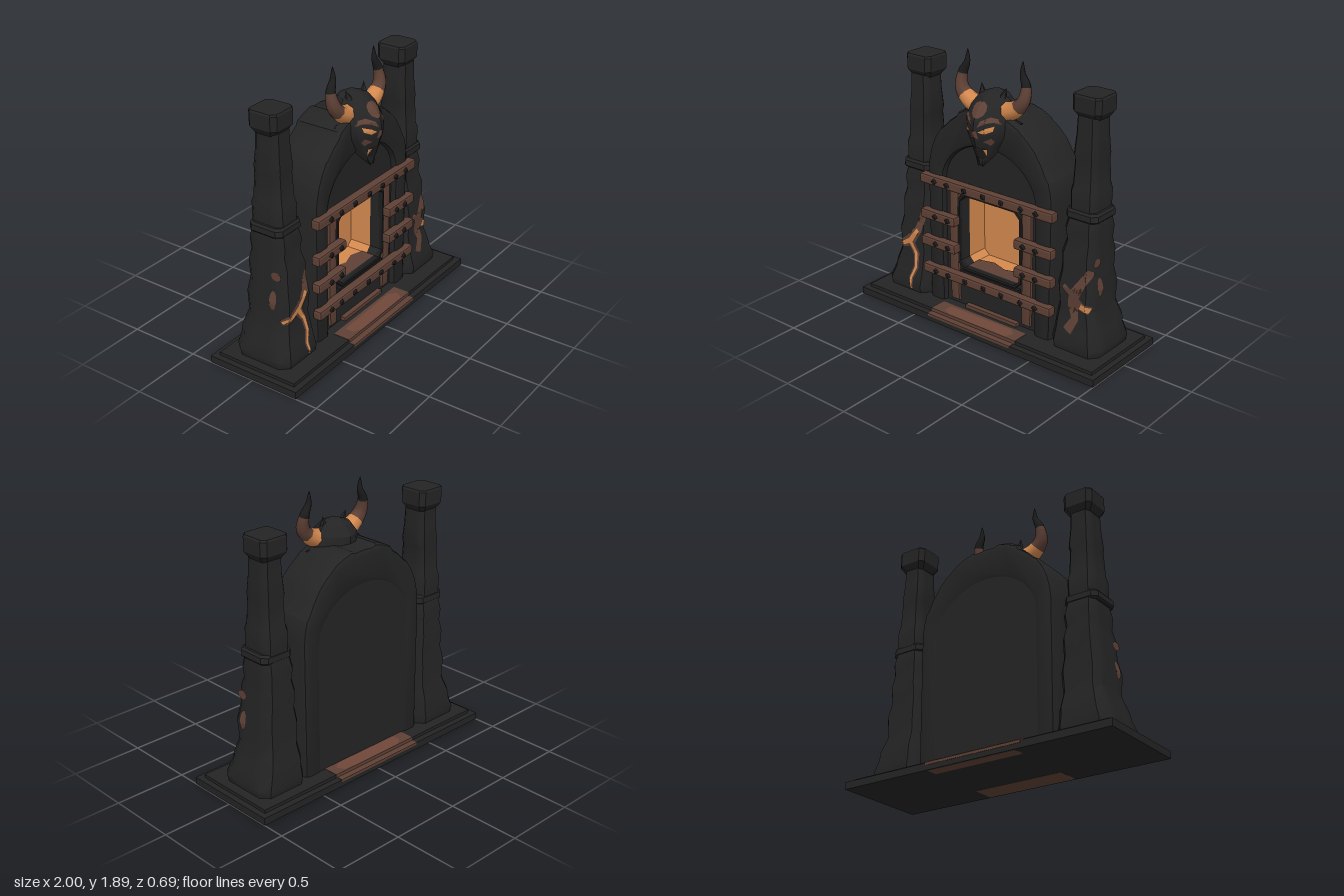
import * as THREE from 'three';
import { toCreasedNormals } from 'three/addons/utils/BufferGeometryUtils.js';
import { RoundedBoxGeometry } from 'three/addons/geometries/RoundedBoxGeometry.js';

const mat = (name, color) => new THREE.MeshStandardMaterial({ name, color });
const stone = mat('charcoal stone', 0x242424);
const soot = mat('soot black', 0x1d1d1d);
const rust = mat('rusty brown', 0x5f4136);
const warm = mat('warm brown', 0x704839);
const ember = mat('ember orange', 0xd68a4f);

const V = (x, y, z) => new THREE.Vector3(x, y, z);
const poly = pts => new THREE.Shape(pts.map(p => new THREE.Vector2(p[0], p[1])));

// Section outlines, as a quarter from the front middle to the side
const SQUARE = [[0, 1], [0.72, 1], [1, 0.72], [1, 0.3]];
const SKULL = [[0, 1], [0.38, 0.86], [0.75, 0.55], [1, 0]];

// Stack sections; each row is [y, centre x, half width, centre z, front depth, back depth]
function loft(rows, quarter, crease = 0.5) {
  const rev = [...quarter].reverse();
  const ring = [...quarter, ...rev.map(([u, v]) => [u, -v]), ...quarter.map(([u, v]) => [-u, -v]), ...rev.map(([u, v]) => [-u, v])]
    .filter((p, i, a) => { const q = a[(i + 1) % a.length]; return Math.abs(p[0] - q[0]) + Math.abs(p[1] - q[1]) > 1e-6; });
  const n = ring.length, pos = [], idx = [];
  for (const [y, cx, w, cz, df, db] of rows)
    for (const [u, v] of ring) pos.push(cx + u * w, y, cz + v * (v > 0 ? df : db));
  const last = rows.length - 1;
  for (const r of [0, last]) pos.push(rows[r][1], rows[r][0], rows[r][3]);
  for (let i = 0; i < n; i++) {
    const j = (i + 1) % n;
    for (let r = 0; r < last; r++) {
      const a = r * n + i, b = r * n + j;
      idx.push(a, b, b + n, a, b + n, a + n);
    }
    idx.push(n * (last + 1), j, i, n * (last + 1) + 1, last * n + i, last * n + j);
  }
  const g = new THREE.BufferGeometry();
  g.setAttribute('position', new THREE.Float32BufferAttribute(pos, 3));
  g.setIndex(idx);
  return toCreasedNormals(g, crease);
}

// Front depth of a loft at x, y, lifted by off
const onFront = (rows, quarter, off) => (x, y) => {
  let r = 0;
  while (r < rows.length - 2 && rows[r + 1][0] < y) r++;
  const t = THREE.MathUtils.clamp((y - rows[r][0]) / (rows[r + 1][0] - rows[r][0]), 0, 1);
  const [, cx, w, cz, df] = rows[r].map((a, k) => a + (rows[r + 1][k] - a) * t);
  const u = Math.min(Math.abs(x - cx) / w, 1);
  let k = 0;
  while (k < quarter.length - 2 && quarter[k + 1][0] < u) k++;
  const [a, b] = [quarter[k], quarter[k + 1]];
  const v = a[1] + (b[1] - a[1]) * Math.min(1, (u - a[0]) / (b[0] - a[0] || 1));
  return [x, y, cz + df * v + off];
};

// Thin painted face: triangulate, subdivide, lay onto a surface
function decal(pts, map, levels = 3) {
  const src = new THREE.ShapeGeometry(poly(pts)).toNonIndexed().attributes.position;
  let tris = [];
  for (let i = 0; i < src.count; i += 3) tris.push([0, 1, 2].map(k => [src.getX(i + k), src.getY(i + k)]));
  const mid = (a, b) => [(a[0] + b[0]) / 2, (a[1] + b[1]) / 2];
  for (let l = 0; l < levels; l++) tris = tris.flatMap(([a, b, c]) => {
    const d = mid(a, b), e = mid(b, c), f = mid(c, a);
    return [[a, d, f], [d, b, e], [f, e, c], [d, e, f]];
  });
  const g = new THREE.BufferGeometry();
  g.setAttribute('position', new THREE.Float32BufferAttribute(tris.flat().flatMap(p => map(p[0], p[1])), 3));
  g.computeVertexNormals();
  return g;
}

// Polygon around a line of [x, y, half width]
function stroke(line, k = 1) {
  const side = s => line.map(([x, y, h], i) => {
    const a = line[Math.max(0, i - 1)], b = line[Math.min(line.length - 1, i + 1)];
    const l = Math.hypot(b[0] - a[0], b[1] - a[1]);
    return [x - s * k * h * (b[1] - a[1]) / l, y + s * k * h * (b[0] - a[0]) / l];
  });
  return [...side(1), ...side(-1).reverse()];
}
const oval = (x, y, rx, ry, n = 10) => Array.from({ length: n }, (_, i) =>
  [x + rx * Math.cos(i * 2 * Math.PI / n), y + ry * Math.sin(i * 2 * Math.PI / n)]);
const cutRect = (x, y0, y1, c) => [[-x + c, y0], [x - c, y0], [x, y0 + c], [x, y1 - c], [x - c, y1], [-x + c, y1], [-x, y1 - c], [-x, y0 + c]];

// Arch outline from the right foot over to the left; uneven makes each stone step in or out a little
function archPts(w, y0, spring, h, uneven = 0) {
  const pts = [[w, y0]], stones = 9;
  for (let i = 0; i < stones; i++) for (let k = 0; k < 3; k++) {
    const a = Math.PI * (i + 0.08 + 0.42 * k) / stones, r = 1 + uneven * Math.sin(i * 2.6 + 1);
    pts.push([w * r * Math.cos(a), spring + h * r * Math.sin(a)]);
  }
  return [...pts, [-w, y0]];
}
function slab(pts, hole, z0, z1, bevel = 0) {
  const s = poly(pts);
  if (hole) s.holes.push(new THREE.Path(hole.map(p => new THREE.Vector2(...p))));
  const g = new THREE.ExtrudeGeometry(s, { depth: z1 - z0 - 2 * bevel, bevelEnabled: bevel > 0, bevelSize: bevel, bevelThickness: bevel, bevelOffset: -bevel, bevelSegments: 2 });
  return toCreasedNormals(g.translate(0, 0, z0 + bevel), 0.6);
}

export function createModel() {
  const root = new THREE.Group();
  const add = (name, g, m) => { const o = new THREE.Mesh(g, m); o.name = name; root.add(o); return o; };
  const box = (name, m, x0, x1, y0, y1, z0, z1) =>
    add(name, new THREE.BoxGeometry(x1 - x0, y1 - y0, z1 - z0).translate((x0 + x1) / 2, (y0 + y1) / 2, (z0 + z1) / 2), m);

  // Stepped base with rusty patches front and back
  box('baseSlab', stone, -1, 1, 0.001, 0.05, -0.343, 0.343);
  box('baseStep', stone, -0.96, 0.96, 0.05, 0.073, -0.3, 0.3);
  for (const s of [1, -1]) {
    const band = (name, m, x0, x1, y0, y1, a, b) => box(name, m, x0, x1, y0, y1, Math.min(s * a, s * b), Math.max(s * a, s * b));
    band('basePatchEdge', rust, -0.37, 0.34, 0.035, 0.053, 0.28, 0.346);
    band('basePatchUnder', rust, -0.33, 0.33, 0, 0.003, s > 0 ? 0.17 : 0.25, 0.335);
    band('basePatchStep', rust, -0.37, 0.35, 0.05, 0.076, 0.18, 0.303);
    const glow = [[-0.28, 0.21], [0.24, 0.2], [0.29, 0.24], [0.26, 0.295], [-0.22, 0.3], [-0.28, 0.27]];
    add('basePatchGlow', decal(glow.map(([x, z]) => [x, -s * z]), (u, v) => [u, 0.079, -v], 0), warm);
  }

  // Stone arch ring, back wall and front wall around the fire opening
  const opening = cutRect(0.25, 0.37, 0.89, 0.04);
  const ring = [...archPts(0.515, 0.03, 1.0, 0.53, 0.018), ...archPts(0.385, 0.03, 0.96, 0.32).reverse()];
  add('archRing', slab(ring, null, -0.2, 0.158, 0.03), stone);
  add('backWall', slab(archPts(0.43, 0.07, 0.98, 0.4), null, -0.193, -0.15), stone);
  add('frontWall', slab(archPts(0.41, 0.07, 0.97, 0.34), opening, 0.04, 0.115), stone);
  add('openingTrim', slab(cutRect(0.27, 0.35, 0.91, 0.05), opening, 0.1, 0.14, 0.006), soot);
  add('fireboxWalls', slab(cutRect(0.29, 0.33, 0.93, 0.04), cutRect(0.252, 0.368, 0.892, 0.04), -0.13, 0.1), ember);
  box('fireboxBack', ember, -0.28, 0.28, 0.34, 0.92, -0.14, -0.12);
  add('ashBed', decal([[-0.21, -0.1], [0.21, -0.1], [0.21, 0], [0.12, 0.03], [0.02, 0], [-0.1, 0.04], [-0.21, 0.01]],
    (u, v) => [u, 0.373, -v], 0), rust);
  box('sill', soot, -0.25, 0.25, 0.27, 0.345, 0.11, 0.14);
  box('hearthLip', rust, -0.2, 0.24, 0.073, 0.098, 0.1, 0.15);
  for (const s of [-1, 1])
    add('rustyRail', slab(stroke([[s * 0.305, 0.1, 0.036], [s * 0.31, 0.35, 0.04], [s * 0.31, 0.75, 0.036], [s * 0.305, 0.93, 0.04]]), null, 0.1, 0.135, 0.01), rust);

  // Iron bars with studs; the middle two are broken by the opening
  const bar = (x0, x1, y, h, studs) => {
    add('ironBar', toCreasedNormals(new RoundedBoxGeometry(x1 - x0, h, 0.065, 1, 0.014).translate((x0 + x1) / 2, y, 0.168), 0.3), rust);
    studs.forEach((x, i) => {
      const o = add('barStud', new THREE.CylinderGeometry(0.013, 0.026, 0.016, 4).rotateX(Math.PI / 2), soot);
      o.position.set(x, y, 0.206);
      o.rotation.z = i * 1.3;
    });
  };
  const full = [-0.42, -0.31, -0.16, 0, 0.15, 0.31, 0.43];
  bar(-0.55, 0.56, 0.962, 0.07, full);
  bar(-0.54, 0.55, 0.3, 0.068, full);
  for (const y of [0.705, 0.505]) {
    bar(-0.55, -0.25, y, 0.07, [-0.42, -0.31]);
    bar(0.25, 0.555, y, 0.07, [0.33, 0.43]);
  }

  // Tapering pillars with collar and cap
  const side = s => [[0.072, 0.715, 0.18, -0.02, 0.205], [0.12, 0.717, 0.187, -0.02, 0.215], [0.2, 0.705, 0.168, -0.025, 0.195],
    [0.25, 0.702, 0.163, -0.03, 0.19], [0.36, 0.688, 0.136, -0.025, 0.16], [0.5, 0.688, 0.144, -0.022, 0.168], [0.6, 0.684, 0.126, -0.025, 0.148],
    [0.72, 0.684, 0.126, -0.03, 0.153], [0.8, 0.685, 0.11, -0.035, 0.13], [0.88, 0.683, 0.118, -0.035, 0.138], [0.97, 0.685, 0.1, -0.035, 0.118]]
    .map(([y, x, w, z, d]) => [y, s * x, w, z, d, d]);
  const cracks = {
    '-1': [[[-0.595, 0.66, 0.02], [-0.63, 0.53, 0.03], [-0.7, 0.435, 0.042], [-0.76, 0.4, 0.032], [-0.82, 0.37, 0.02]],
      [[-0.7, 0.42, 0.035], [-0.65, 0.34, 0.026], [-0.64, 0.25, 0.022], [-0.67, 0.17, 0.018], [-0.66, 0.09, 0.012]]],
    '1': [[[0.8, 0.64, 0.02], [0.75, 0.55, 0.03], [0.7, 0.46, 0.04], [0.69, 0.38, 0.038], [0.715, 0.3, 0.028], [0.67, 0.21, 0.034]],
      [[0.7, 0.44, 0.03], [0.75, 0.4, 0.032], [0.81, 0.375, 0.025]], [[0.69, 0.46, 0.025], [0.62, 0.51, 0.018]]],
  };
  for (const s of [-1, 1]) {
    const rows = side(s);
    add('pillarLower', loft(rows, SQUARE, 0.8), stone);
    add('pillarCollar', loft([[0.95, 0.69, 0.11], [0.962, 0.69, 0.122], [1.0, 0.69, 0.12], [1.015, 0.69, 0.108]]
      .map(([y, x, w]) => [y, s * x, w, -0.03, w + 0.006, w + 0.006]), SQUARE), stone);
    add('pillarUpper', loft([[1.0, 0.688, 0.095, 0.118], [1.13, 0.688, 0.098, 0.12], [1.17, 0.688, 0.088, 0.108], [1.34, 0.688, 0.081, 0.099],
      [1.37, 0.685, 0.087, 0.102], [1.5, 0.685, 0.077, 0.09], [1.62, 0.685, 0.072, 0.088]].map(([y, x, w, d]) => [y, s * x, w, -0.036, d, d]), SQUARE, 0.8), stone);
    add('pillarCap', loft([[1.6, 0.075], [1.645, 0.106], [1.74, 0.107], [1.752, 0.1]].map(([y, w]) => [y, s * 0.684, w, -0.045, w, w]), SQUARE), stone);
    cracks[s].forEach((line, i) => {
      add('lavaCrack', decal(stroke(line), onFront(rows, SQUARE, 0.005 + 0.001 * i)), rust);
      const core = s < 0 ? line.slice(1 - i) : i === 1 ? line.slice(1) : null;
      if (core) add('lavaCore', decal(stroke(core, s < 0 ? 0.45 : 0.7), onFront(rows, SQUARE, 0.009)), ember);
    });
    // Scorched spots on the outer faces
    for (const [z, y, rz, ry] of [[0.065, 0.69, 0.04, 0.03], [0.045, 0.52, 0.028, 0.065]])
      add('scorchMark', decal(oval(-s * z, y, rz, ry), (u, v) => {
        const r = side(1), k = Math.max(0, r.findIndex(q => q[0] >= v) - 1), t = (v - r[k][0]) / (r[k + 1][0] - r[k][0]);
        return [s * (THREE.MathUtils.lerp(r[k][1] + r[k][2], r[k + 1][1] + r[k + 1][2], t) + 0.005), v, -s * u];
      }), rust);
  }

  // Horned skull
  const head = [[1.185, 0.014, 0.2, 0.02, 0.02], [1.25, 0.068, 0.16, 0.075, 0.05], [1.32, 0.12, 0.12, 0.14, 0.07], [1.39, 0.168, 0.1, 0.18, 0.1],
    [1.45, 0.182, 0.09, 0.198, 0.14], [1.5, 0.18, 0.08, 0.2, 0.15], [1.57, 0.155, 0.07, 0.165, 0.14], [1.63, 0.108, 0.07, 0.105, 0.1], [1.66, 0.03, 0.07, 0.04, 0.04]]
    .map(([y, w, z, f, b]) => [y, 0, w, z, f, b]);
  add('skull', loft(head, SKULL, 0.35), stone);
  const face = (name, pts, m, off = 0.005) => add(name, decal(pts, onFront(head, SKULL, off)), m);
  face('foreheadMark', oval(0, 1.565, 0.055, 0.048), rust);
  face('mouth', [[-0.065, 1.32], [-0.05, 1.25], [0, 1.235], [0.05, 1.25], [0.065, 1.32], [0, 1.335]], soot);
  face('noseBridge', [[-0.02, 1.44], [-0.03, 1.385], [0, 1.4], [0.03, 1.385], [0.02, 1.44]], rust);
  const spike = (name, base, tip, r, flat = 1) => {
    const d = tip.clone().sub(base), o = add(name, new THREE.ConeGeometry(r, d.length(), 5), stone);
    o.position.copy(base).addScaledVector(d, 0.5);
    o.quaternion.setFromUnitVectors(V(0, 1, 0), d.normalize());
    o.scale.z = flat;
  };
  for (const s of [-1, 1]) {
    const m = pts => pts.map(([x, y]) => [s * x, y]);
    face('brow', m([[0.022, 1.465], [0.04, 1.505], [0.085, 1.53], [0.125, 1.52], [0.145, 1.485], [0.11, 1.5], [0.07, 1.492]]), rust);
    face('eye', m([[0.03, 1.435], [0.07, 1.425], [0.112, 1.445], [0.118, 1.477], [0.075, 1.462]]), ember, 0.008);
    face('cheekMark', m([[0.055, 1.37], [0.1, 1.395], [0.11, 1.37], [0.085, 1.34], [0.075, 1.355]]), rust);
    face('fang', m([[0.045, 1.315], [0.062, 1.31], [0.052, 1.262]]), ember, 0.009);
    spike('earSpike', V(s * 0.13, 1.47, 0.1), V(s * 0.24, 1.488, 0.09), 0.06, 0.6);
    spike('jawSpike', V(s * 0.12, 1.43, 0.12), V(s * 0.205, 1.42, 0.12), 0.05, 0.6);
    spike('crownSpike', V(s * 0.075, 1.6, 0.1), V(s * 0.1, 1.69, 0.08), 0.035);
    spike('chinSpike', V(s * 0.025, 1.26, 0.2), V(s * 0.018, 1.178, 0.22), 0.027);

    // Horn: tapered tube, ember root, brown middle, black tip
    const curve = new THREE.CatmullRomCurve3([[0.11, 1.54, 0.1], [0.185, 1.57, 0.105], [0.25, 1.635, 0.1], [0.256, 1.73, 0.08], [0.225, 1.8, 0.075], [0.222, 1.885, 0.07]]
      .map(([x, y, z]) => V(s * x, y, z)));
    const seg = 18, rad = 8, g = new THREE.TubeGeometry(curve, seg, 1, rad), p = g.attributes.position;
    for (let i = 0; i < p.count; i++) {
      const t = Math.floor(i / (rad + 1)) / seg, c = curve.getPointAt(t);
      const q = V(0, 0, 0).fromBufferAttribute(p, i).sub(c).multiplyScalar(0.066 * Math.pow(1 - t, 0.75) + 0.001).add(c);
      p.setXYZ(i, q.x, q.y, q.z);
    }
    [[0, 5], [5, 11], [11, seg]].forEach(([a, b], k) => g.addGroup(a * rad * 6, (b - a) * rad * 6, k));
    add('horn', g, [ember, rust, soot]);
  }
  return root;
}
